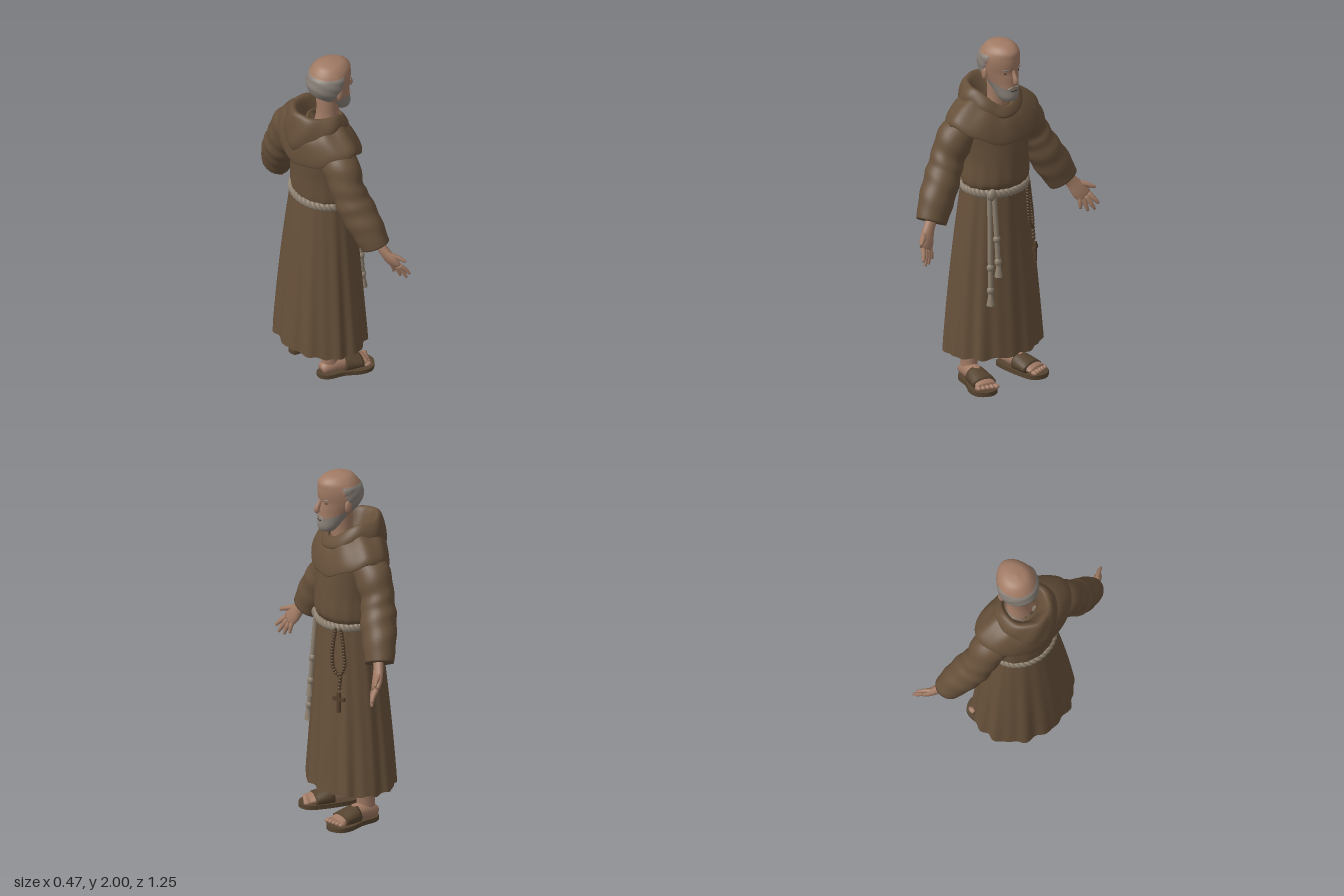
import * as THREE from 'three';

const mat = (name, color, side = THREE.FrontSide) => {
  const m = new THREE.MeshStandardMaterial({ color, side });
  m.name = name;
  return m;
};
const V = (x, y, z) => new THREE.Vector3(x, y, z);

// Skin a list of closed rings; pick(centre) chooses the material of each face
function skinRings(rings, flip = false, pick = () => 0) {
  const n = rings[0].length, pts = rings.flat(), lists = [[], []];
  const face = (a, b, c) => {
    const m = pts[a].clone().add(pts[b]).add(pts[c]).divideScalar(3);
    lists[pick(m)].push(...(flip ? [a, c, b] : [a, b, c]));
  };
  for (let i = 0; i < rings.length - 1; i++) for (let j = 0; j < n; j++) {
    const k = (j + 1) % n, a = i * n + j, b = i * n + k;
    face(a, b, a + n);
    face(b, b + n, a + n);
  }
  const g = new THREE.BufferGeometry().setFromPoints(pts);
  g.setIndex(lists.flat());
  g.addGroup(0, lists[0].length, 0);
  g.addGroup(lists[0].length, lists[1].length, 1);
  g.computeVertexNormals();
  return g;
}

// Smoothly resample a table of cross-section values
function resample(rows, n) {
  const out = [], last = rows.length - 1;
  for (let i = 0; i <= n; i++) {
    const s = i / n * last, k = Math.min(Math.floor(s), last - 1), t = s - k;
    const [a, b, c, d] = [k - 1, k, k + 1, k + 2].map(q => rows[Math.min(Math.max(q, 0), last)]);
    out.push(b.map((v, q) => v + 0.5 * t * (c[q] - a[q] + t * (2 * a[q] - 5 * v + 4 * c[q] - d[q]
      + t * (3 * (v - c[q]) + d[q] - a[q])))));
  }
  return out;
}

// Upright loft, bottom to top: [half width, back, front, y back, y side, y front]
function loft(rows, steps, sides, bend = () => {}, pick) {
  const rings = resample(rows, steps).map(([w, back, front, yb, ys, yf]) =>
    Array.from({ length: sides }, (_, j) => {
      const a = j / sides * Math.PI * 2, s = Math.sin(a);
      const p = V(w * Math.cos(a), ys + ((s > 0 ? yf : yb) - ys) * s * s, (front + back) / 2 + (front - back) / 2 * s);
      bend(p, a);
      return p;
    }));
  return skinRings(rings, true, pick);
}
const level = rows => rows.map(([w, b, f, y]) => [w, b, f, y, y, y]);

// Closed limb along points [x, y, z, radius across, radius deep]
function limb(rows, steps = 8, sides = 12, ref = V(0, 0, 1), wrinkle = () => 1) {
  const list = resample(rows, steps), c = list.map(r => V(r[0], r[1], r[2]));
  const rings = list.map((r, i) => {
    const t = c[Math.min(i + 1, steps)].clone().sub(c[Math.max(i - 1, 0)]).normalize();
    const A = t.clone().cross(ref).normalize(), B = t.clone().cross(A);
    return Array.from({ length: sides }, (_, j) => {
      const a = j / sides * Math.PI * 2, k = wrinkle(i / steps, a);
      return c[i].clone().addScaledVector(A, r[3] * k * Math.cos(a)).addScaledVector(B, r[4] * k * Math.sin(a));
    });
  });
  const cap = p => Array.from({ length: sides }, () => p.clone());
  return skinRings([cap(c[0]), ...rings, cap(c[steps])]);
}

const skirtRow = y => {
  const t = (1.16 - y) / 0.96;
  return [0.192 + 0.128 * t - 0.028 * t * t, -0.145 - 0.115 * t + 0.028 * t * t, 0.172 + 0.056 * t, y];
};
// Point lying just in front of the skirt
const onSkirt = (x, y, gap = 0.016) => {
  const [w, b, f] = skirtRow(y);
  return V(x, y, (f + b) / 2 + (f - b) / 2 * Math.sqrt(1 - (x / w) ** 2) + gap);
};

export function createModel() {
  const robe = mat('brown wool', 0x66503a, THREE.DoubleSide), skin = mat('skin', 0xa07a64);
  const hair = mat('grey hair', 0x857d75), rope = mat('pale rope', 0x8c7f6e);
  const leather = mat('sandal leather', 0x55432f), wood = mat('rosary wood', 0x513d29), dark = mat('dark eye', 0x3a2c24);
  const model = new THREE.Group(), body = new THREE.Group();
  body.name = 'friar';
  body.rotation.y = Math.PI / 2;
  model.add(body);
  const add = (name, g, m) => {
    const mesh = new THREE.Mesh(g, m);
    mesh.name = name;
    body.add(mesh);
    return mesh;
  };
  const ball = (name, m, p, sx, sy = sx, sz = sx) => {
    const b = add(name, new THREE.SphereGeometry(1, 16, 12), m);
    b.position.copy(p);
    b.scale.set(sx, sy, sz);
    return b;
  };
  const tube = (name, m, pts, r) =>
    add(name, new THREE.TubeGeometry(new THREE.CatmullRomCurve3(pts), 40, r, 8), m);

  // Skirt with folds deepening toward the hem, and its closed underside
  const folds = (p, a) => {
    const t = (1.16 - p.y) / 0.96;
    const k = 1 + (0.01 + 0.03 * t) * (0.6 * Math.sin(11 * a + 0.8) + 0.5 * Math.sin(18 * a + 2 + t));
    p.x *= k;
    p.z *= k;
    if (p.y < 0.25) p.y += 0.005 * Math.sin(13 * a);
  };
  add('skirt', loft(level([0.2, 0.32, 0.5, 0.7, 0.9, 1.05, 1.16].map(skirtRow)), 30, 128, folds), robe);
  add('skirtUnderside', loft(level([[0.002, -0.002, 0.002, 0.265], [0.15, -0.12, 0.12, 0.265],
    [0.265, -0.205, 0.2, 0.25], skirtRow(0.2)]), 9, 128, folds), robe);
  // Bloused torso
  add('torso', loft(level([
    [0.175, -0.13, 0.15, 1.13], [0.19, -0.14, 0.178, 1.175], [0.197, -0.145, 0.192, 1.21], [0.192, -0.148, 0.188, 1.32],
    [0.2, -0.155, 0.18, 1.42], [0.21, -0.155, 0.165, 1.52], [0.16, -0.12, 0.13, 1.6], [0.08, -0.06, 0.1, 1.64]]),
  24, 96, (p, a) => {
    const k = 1 + 0.012 * Math.sin(15 * a + 1) * Math.max(0, (1.4 - p.y) * 4);
    p.x *= k;
    p.z *= k;
  }), robe);
  // Shoulder cape and the hood lying around the neck
  add('shoulderCape', loft([
    [0.265, -0.165, 0.165, 1.45, 1.56, 1.45], [0.291, -0.185, 0.188, 1.43, 1.545, 1.43], [0.278, -0.19, 0.183, 1.5, 1.585, 1.48],
    [0.205, -0.18, 0.162, 1.6, 1.645, 1.55], [0.12, -0.13, 0.125, 1.66, 1.69, 1.61]], 20, 80, (p, a) => {
    p.y += 0.005 * Math.sin(9 * a);
  }), robe);
  add('hood', loft([
    [0.14, -0.175, 0.135, 1.48, 1.62, 1.56], [0.172, -0.197, 0.155, 1.55, 1.645, 1.575], [0.165, -0.192, 0.15, 1.65, 1.69, 1.6],
    [0.135, -0.168, 0.13, 1.735, 1.725, 1.63], [0.108, -0.13, 0.115, 1.73, 1.71, 1.62], [0.088, -0.07, 0.105, 1.62, 1.62, 1.56]],
  28, 80, (p, a) => {
    const k = 1 + 0.015 * Math.sin(7 * a + p.y * 25);
    p.x *= k;
    p.z *= k;
  }), robe);

  // Neck and head, with the hair ring and beard as face groups
  add('neck', loft(level([[0.075, -0.03, 0.1, 1.56], [0.062, -0.01, 0.11, 1.66], [0.068, -0.01, 0.12, 1.78]]), 8, 32), skin);
  const isHair = p => p.y > 1.77 && p.y < 1.935 && p.z < 0.04 + 0.4 * (p.y - 1.8);
  const isBeard = p => p.z > 0.06 && p.y < 1.795 - 0.4 * (p.z - 0.06);
  add('head', loft(level([
    [0.002, 0.13, 0.135, 1.672], [0.045, 0.1, 0.178, 1.676], [0.066, 0.075, 0.19, 1.7], [0.076, 0.04, 0.187, 1.735],
    [0.084, 0.002, 0.184, 1.77], [0.095, -0.035, 0.183, 1.805], [0.106, -0.058, 0.18, 1.84], [0.112, -0.064, 0.187, 1.88],
    [0.11, -0.054, 0.188, 1.92], [0.095, -0.034, 0.182, 1.957], [0.06, 0, 0.14, 1.988], [0.002, 0.058, 0.062, 2]]),
  60, 96, p => {
    p.x *= 1 - 1.2 * Math.max(0, p.z - 0.05);
    if (isHair(p)) {
      const k = 1.05 + 0.012 * Math.sin(p.y * 110 + p.z * 60);
      p.x *= k;
      p.z = 0.06 + (p.z - 0.06) * k;
    }
  }, p => (isHair(p) || isBeard(p) ? 1 : 0)), [skin, hair]);
  add('nose', limb([[0, 1.853, 0.176, 0.01, 0.01], [0, 1.83, 0.186, 0.011, 0.012],
    [0, 1.8, 0.2, 0.015, 0.016], [0, 1.783, 0.194, 0.013, 0.012]], 8, 12), skin);
  add('mouth', new THREE.BoxGeometry(0.04, 0.004, 0.008), dark).position.set(0, 1.737, 0.184);
  for (const s of [1, -1]) {
    ball('eye', dark, V(s * 0.038, 1.842, 0.162), 0.015, 0.006, 0.006);
    ball('brow', hair, V(s * 0.04, 1.86, 0.167), 0.025, 0.005, 0.008).rotation.set(0, s * 0.35, s * 0.1);
    ball('moustache', hair, V(s * 0.018, 1.754, 0.18), 0.024, 0.007, 0.008).rotation.z = -s * 0.25;
    ball('ear', skin, V(s * 0.106, 1.83, 0.06), 0.012, 0.036, 0.021);

    // Wide sleeves
    add('sleeve', limb([[s * 0.15, 1.53, -0.02, 0.08, 0.09], [s * 0.235, 1.46, -0.025, 0.105, 0.1],
      [s * 0.295, 1.35, -0.025, 0.098, 0.09], [s * 0.345, 1.255, -0.008, 0.1, 0.098], [s * 0.41, 1.145, 0.018, 0.102, 0.09],
      [s * 0.462, 1.045, 0.04, 0.09, 0.076]], 36, 32, V(0, 0, 1),
    (t, a) => 1 + 0.035 * Math.sin(t * 34 + 2 * Math.sin(a)) * Math.sin(t * Math.PI)), robe);
    // Open hands, palms forward
    add('palm', limb([[s * 0.455, 1.085, 0.045, 0.034, 0.028], [s * 0.5, 1.025, 0.065, 0.036, 0.026],
      [s * 0.537, 0.97, 0.09, 0.05, 0.024], [s * 0.56, 0.935, 0.11, 0.044, 0.015]], 10, 16), skin);
    const fingers = [[0.527, 0.94, 0.098, 0.522, 0.872, 0.118], [0.543, 0.932, 0.106, 0.56, 0.856, 0.135],
      [0.563, 0.935, 0.112, 0.596, 0.86, 0.15], [0.58, 0.947, 0.113, 0.616, 0.892, 0.158], [0.545, 1.01, 0.08, 0.612, 0.982, 0.135]];
    for (const [x, y, z, u, v, w] of fingers) {
      add('finger', limb([[s * x, y, z, 0.015, 0.014], [s * (x + u) / 2, (y + v) / 2, (z + w) / 2 + 0.004, 0.014, 0.012],
        [s * u, v, w, 0.008, 0.007]], 6, 8), skin);
    }

    // Legs, feet and sandals
    add('leg', limb([[s * 0.14, 0.05, -0.03, 0.045, 0.05], [s * 0.138, 0.13, -0.028, 0.043, 0.052],
      [s * 0.135, 0.3, -0.022, 0.055, 0.06]], 8, 20), skin);
    add('foot', limb([[s * 0.138, 0.05, -0.088, 0.025, 0.03], [s * 0.142, 0.065, -0.04, 0.045, 0.044],
      [s * 0.152, 0.065, 0.04, 0.045, 0.05], [s * 0.168, 0.05, 0.12, 0.03, 0.06],
      [s * 0.178, 0.042, 0.17, 0.018, 0.058]], 14, 20, V(1, 0, 0)), skin);
    add('sandalStrap', limb([[s * 0.152, 0.058, 0.035, 0.052, 0.058], [s * 0.16, 0.052, 0.085, 0.046, 0.065],
      [s * 0.169, 0.045, 0.14, 0.033, 0.069]], 6, 24, V(1, 0, 0)), leather);
    for (let i = 0; i < 5; i++) {
      ball('toe', skin, V(s * (0.135 + i * 0.024), 0.037, 0.192 - i * 0.009), i ? 0.013 : 0.017, 0.014, 0.022);
    }
    const sole = new THREE.Shape();
    sole.setFromPoints(new THREE.CatmullRomCurve3([[0.095, 0.06], [0.105, 0.095], [0.143, 0.103], [0.18, 0.07], [0.205, -0.02],
      [0.25, -0.11], [0.25, -0.175], [0.19, -0.218], [0.125, -0.195], [0.1, -0.1]].map(([x, y]) => V(s * x, y, 0)), true)
      .getPoints(50).map(p => new THREE.Vector2(p.x, p.y)));
    add('sandalSole', new THREE.ExtrudeGeometry(sole, { depth: 0.025, bevelEnabled: false }).rotateX(-Math.PI / 2), leather);
  }

  // Two-strand rope belt pulled into the waist
  for (const phase of [0, Math.PI]) {
    const pts = Array.from({ length: 160 }, (_, i) => {
      const a = i / 160 * Math.PI * 2, q = a * 20 + phase, r = 0.007 * Math.cos(q);
      return V((0.185 + r) * Math.cos(a), 1.152 + 0.012 * Math.sin(q) - 0.008 * Math.sin(a), 0.016 + (0.157 + r) * Math.sin(a));
    });
    add('ropeBelt', new THREE.TubeGeometry(new THREE.CatmullRomCurve3(pts, true), 320, 0.014, 7, true), rope);
  }
  // Hanging rope ends with knots and tassels
  ball('beltKnot', rope, onSkirt(-0.125, 1.145, 0.012), 0.03, 0.034, 0.022);
  for (const [x0, x1, end] of [[-0.135, -0.158, 0.56], [-0.115, -0.112, 0.72]]) {
    const at = y => onSkirt(x0 + (x1 - x0) * (1.14 - y) / (1.14 - end), y, 0.01);
    tube('hangingRope', rope, [1.14, 1, 0.85, end].map(at), 0.014);
    for (const y of [end + 0.04, end + 0.17]) ball('ropeKnot', rope, at(y), 0.021, 0.024, 0.019);
    const tassel = add('ropeTassel', new THREE.CylinderGeometry(0.012, 0.023, 0.06, 10), rope);
    tassel.position.copy(at(end - 0.015));
  }

  // Rosary: bead loop, drop and cross
  const loop = new THREE.CatmullRomCurve3([[0.125, 1.14], [0.118, 1.0], [0.135, 0.91], [0.165, 0.885], [0.18, 0.93],
    [0.168, 1.04], [0.15, 1.14]].map(([x, y]) => onSkirt(x, y, 0.01)));
  add('rosaryCord', new THREE.TubeGeometry(loop, 50, 0.008, 6), wood);
  loop.getSpacedPoints(32).forEach(p => ball('rosaryBead', wood, p, 0.011));
  for (let y = 0.87; y > 0.79; y -= 0.02) ball('rosaryBead', wood, onSkirt(0.17, y, 0.01), 0.011);
  for (const [name, w, h, y] of [['crossUpright', 0.02, 0.115, 0.73], ['crossBar', 0.07, 0.02, 0.75]]) {
    const bar = add(name, new THREE.BoxGeometry(w, h, 0.016), wood);
    bar.position.copy(onSkirt(0.175, y, 0.012));
    bar.rotation.y = 0.6;
  }
  return model;
}
